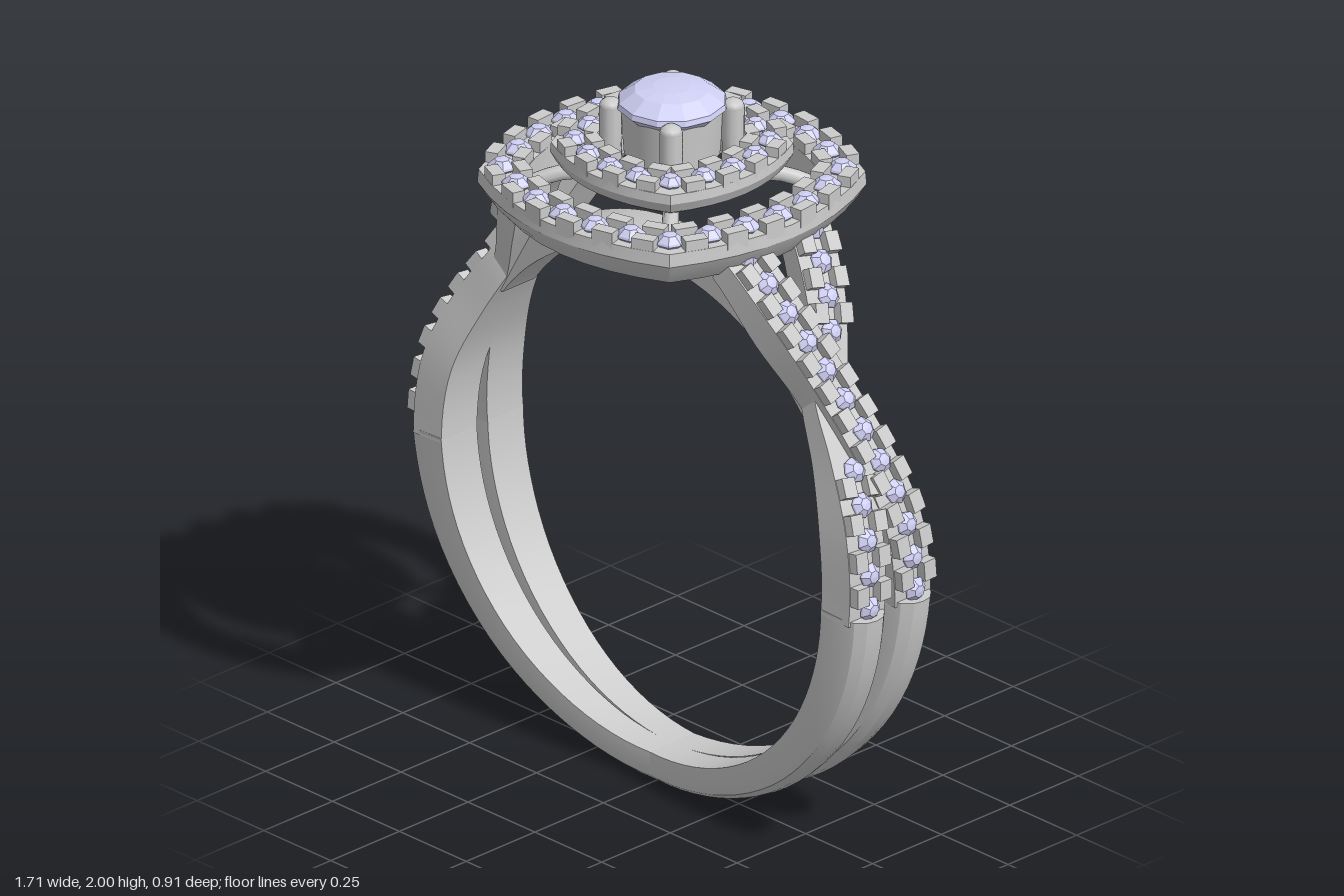
import * as THREE from 'three';
import { mergeGeometries, toCreasedNormals } from 'three/addons/utils/BufferGeometryUtils.js';

const V = (x, y, z) => new THREE.Vector3(x, y, z);
const metal = new THREE.MeshStandardMaterial({ color: 0xcccccc });
const stone = new THREE.MeshStandardMaterial({ color: 0xd0d0f5, flatShading: true });
const CY = 0.8; // height of the finger hole's centre

// Skin a list of cross-section loops; either closed into a ring or capped at both ends
function loft(rows, ring) {
  const n = rows[0].length, index = [];
  const pos = rows.flat().flatMap(p => [p.x, p.y, p.z]);
  for (let i = 0; i < rows.length - (ring ? 0 : 1); i++) {
    for (let j = 0; j < n; j++) {
      const a = i * n + j, d = i * n + (j + 1) % n;
      const k = ((i + 1) % rows.length) * n, b = k + j, c = k + (j + 1) % n;
      index.push(a, b, c, a, c, d);
    }
  }
  if (!ring) {
    const e = (rows.length - 1) * n;
    for (let j = 1; j < n - 1; j++) index.push(0, j, j + 1, e, e + j + 1, e + j);
  }
  const g = new THREE.BufferGeometry();
  g.setAttribute('position', new THREE.Float32BufferAttribute(pos, 3));
  g.setIndex(index);
  return toCreasedNormals(g, 0.5);
}

function add(parent, name, geometry, material = metal) {
  const m = new THREE.Mesh(geometry, material);
  m.name = name;
  parent.add(m);
  return m;
}

// Band along the finger hole; keys are [angle, inner radius, outer radius, z, width]
function bandAt(keys) {
  const c1 = new THREE.CatmullRomCurve3(keys.map(k => V(k[0], k[1], k[2])), false, 'catmullrom');
  const c2 = new THREE.CatmullRomCurve3(keys.map(k => V(k[3], k[4], 0)), false, 'catmullrom');
  return (t, u, v) => {
    const p = c1.getPoint(t), q = c2.getPoint(t);
    const a = THREE.MathUtils.degToRad(p.x), r = p.y + (p.z - p.y) * v;
    return V(r * Math.cos(a), CY + r * Math.sin(a), q.x + u * q.y / 2);
  };
}
function band(at, section, steps) {
  const rows = [];
  for (let i = 0; i <= steps; i++) rows.push(section.map(([u, v]) => at(i / steps, u, v)));
  return loft(rows, false);
}
const SQUARE = [[-1, 0], [-1, 1], [1, 1], [1, 0]];
const ROUNDED = [[-1, 0], [-1, 0.55], [-0.85, 0.8], [-0.45, 0.96], [0, 1], [0.45, 0.96], [0.85, 0.8], [1, 0.55], [1, 0]];

// Cushion outline of half-size s, starting mid-front; q counts its four sides
function cushion(s, q) {
  const side = Math.floor(q + 0.5), u = (q + 0.5 - side) * 2 - 1;
  let x = -u * 0.79 * s, z = s * (1 - 0.21 * u * u);
  for (let k = 0; k < side % 4; k++) [x, z] = [-z, x];
  return [x, z];
}
function cushionRing(profile) {
  const rows = [];
  for (let i = 0; i < 32; i++) {
    rows.push(profile.map(([s, y]) => {
      const [x, z] = cushion(s, i / 8);
      return V(x, y, z);
    }));
  }
  return loft(rows, true);
}

// Small faceted stone, girdle at y = 0
function gem(r, sides = 7) {
  const profile = [[0, -0.9], [1, 0], [0.95, 0.15], [0.5, 0.55], [0, 0.62]];
  return new THREE.LatheGeometry(profile.map(([x, y]) => new THREE.Vector2(x * r, y * r)), sides);
}

// Stones in a row with a metal tooth on each edge between neighbours
function pave(parent, name, frames, r, toothSize, edge) {
  const gems = [], teeth = [];
  for (const { p, t, n, tooth } of frames) {
    const s = V().crossVectors(t, n).normalize();
    const m = new THREE.Matrix4().makeBasis(t, n, s).setPosition(p);
    if (!tooth) gems.push(gem(r).rotateY(gems.length * 1.3).translate(0, 0.008, 0).applyMatrix4(m));
    else for (const side of [-1, 1]) {
      teeth.push(new THREE.BoxGeometry(...toothSize).translate(0, 0.005, side * edge).applyMatrix4(m));
    }
  }
  add(parent, name + 'Stones', mergeGeometries(gems), stone);
  add(parent, name + 'Teeth', mergeGeometries(teeth));
}

// Cushion halo with one row of stones on its top
function halo(parent, name, profile, count, mid, bedY, r, toothSize, edge) {
  add(parent, name, cushionRing(profile));
  const path = new THREE.Path();
  path.setFromPoints(Array.from({ length: 65 }, (_, i) => new THREE.Vector2(...cushion(mid, i / 16))));
  const pts = path.getSpacedPoints(count * 2), N = count * 2;
  const frames = [];
  for (let i = 0; i < N; i++) {
    const a = pts[(i + N - 1) % N], b = pts[(i + 1) % N];
    frames.push({ p: V(pts[i].x, bedY, pts[i].y), t: V(b.x - a.x, 0, b.y - a.y).normalize(), n: V(0, 1, 0), tooth: i % 2 === 1 });
  }
  pave(parent, name, frames, r, toothSize, edge);
}

// One half-shank strand: plain below, stone-set above, crossing its twin and flaring to the halo
function strand(sign) {
  const g = new THREE.Group();
  g.name = sign > 0 ? 'upperStrand' : 'lowerStrand';
  const dip = sign > 0 ? 0 : 0.02; // the twin passes underneath
  const at = bandAt([
    [-3, 0.71, 0.815, -0.085 * sign, 0.13],
    [14, 0.71, 0.815, -0.07 * sign, 0.13],
    [29, 0.71, 0.808 - dip, -0.03 * sign, 0.13],
    [42, 0.73, 0.815 - dip, 0.005 * sign, 0.13],
    [55, 0.79, 0.885, 0.07 * sign, 0.135],
    [67, 0.9, 0.975, 0.125 * sign, 0.14]]);
  add(g, 'setStrand', band(at, SQUARE, 30));

  const line = new THREE.CatmullRomCurve3(Array.from({ length: 31 }, (_, i) => at(i / 30, 0, 1)));
  const frames = [], N = 23;
  for (let i = 0; i < N; i++) {
    const u = (i + 0.8) / (N + 0.3);
    const p = line.getPointAt(u), t = line.getTangentAt(u);
    const n = V().crossVectors(t, V(0, 0, 1)).normalize();
    const hidden = sign < 0 && p.y > 1.17 && p.y < 1.44;
    if (!hidden) frames.push({ p, t, n, tooth: i % 2 === 1 });
  }
  pave(g, 'strand', frames, 0.035, [0.054, 0.045, 0.042], 0.041);

  const plain = bandAt([
    [-90, 0.71, 0.8, -0.04 * sign, 0.082],
    [-68, 0.71, 0.805, -0.052 * sign, 0.096],
    [-45, 0.71, 0.82, -0.067 * sign, 0.112],
    [-22, 0.71, 0.84, -0.079 * sign, 0.124],
    [-2, 0.71, 0.855, -0.085 * sign, 0.13]]);
  add(g, 'plainStrand', band(plain, ROUNDED, 24));
  return g;
}

export function createModel() {
  const ring = new THREE.Group();
  ring.name = 'ring';

  // Shank: two crossing strands each side, the second side turned half round
  for (const turn of [0, Math.PI]) {
    const side = new THREE.Group();
    side.name = turn ? 'rightShank' : 'leftShank';
    side.rotation.y = turn;
    side.add(strand(1), strand(-1));
    ring.add(side);
  }
  // Plain arch closing the finger hole beneath the head
  const arch = bandAt([36, 63, 90, 117, 144].map(a => [a, 0.71, 0.775, 0, 0.12]));
  add(ring, 'innerArch', band(arch, SQUARE, 28));

  // Two stepped cushion halos
  halo(ring, 'outerHalo', [[0.342, 1.752], [0.452, 1.752], [0.455, 1.715], [0.435, 1.68], [0.405, 1.645], [0.385, 1.64], [0.342, 1.64]],
    24, 0.397, 1.752, 0.04, [0.062, 0.05, 0.036], 0.038);
  halo(ring, 'innerHalo', [[0.165, 1.832], [0.283, 1.832], [0.285, 1.805], [0.27, 1.775], [0.24, 1.757], [0.165, 1.757]],
    16, 0.227, 1.832, 0.036, [0.054, 0.046, 0.036], 0.038);

  // Basket, claws and bridges holding the centre stone
  add(ring, 'basket', cushionRing([[0.09, 1.935], [0.122, 1.935], [0.112, 1.8], [0.08, 1.8]]));
  for (const sx of [-1, 1]) for (const sz of [-1, 1]) {
    const diag = (d, y) => V(sx * d, y, sz * d);
    const claw = new THREE.CatmullRomCurve3([diag(0.113, 1.94), diag(0.113, 1.86), diag(0.112, 1.78), diag(0.085, 1.72), diag(0.04, 1.69), diag(0, 1.68)]);
    add(ring, 'claw', new THREE.TubeGeometry(claw, 20, 0.031, 10));
    const tip = add(ring, 'clawTip', new THREE.SphereGeometry(0.031, 10, 6));
    tip.scale.y = 0.7;
    tip.position.copy(diag(0.113, 1.94));
    const bridge = new THREE.CatmullRomCurve3([diag(0.1, 1.74), diag(0.2, 1.745), diag(0.3, 1.69)]);
    add(ring, 'haloBridge', new THREE.TubeGeometry(bridge, 8, 0.022, 8));
  }
  add(ring, 'basketBoss', new THREE.SphereGeometry(0.037, 12, 8)).position.y = 1.685;

  // Faceted cushion-cut centre stone
  const cut = [[0, 1.8], [0.13, 1.93], [0.147, 1.945], [0.143, 1.96], [0.1, 1.99], [0.05, 1.998], [0, 2]];
  const centre = new THREE.LatheGeometry(cut.map(([r, y]) => new THREE.Vector2(r, y)), 12);
  add(ring, 'centreStone', centre, stone);
  return ring;
}
